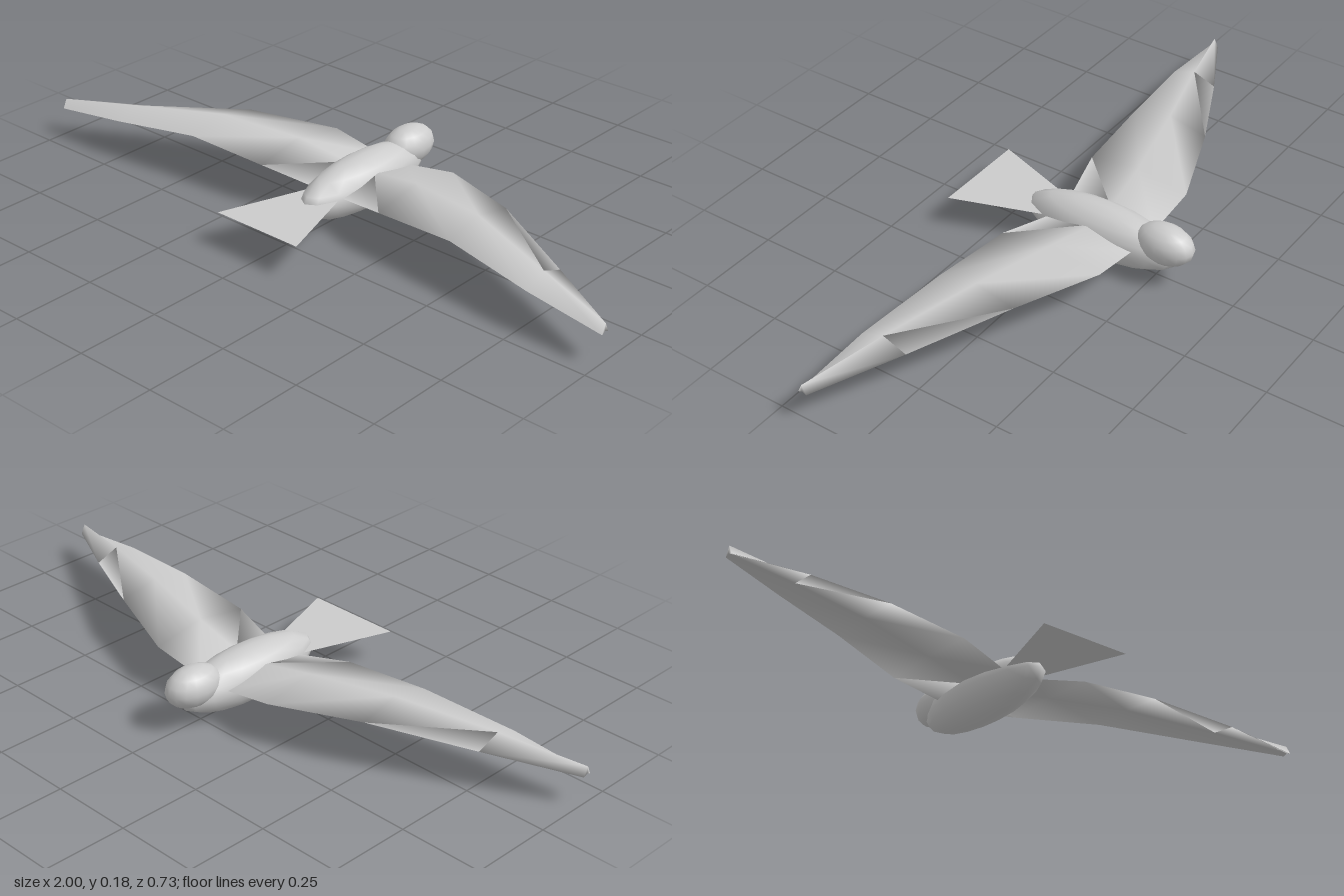
import * as THREE from 'three';

const material = new THREE.MeshStandardMaterial({ color: 0xcccccc });
const thin = new THREE.MeshStandardMaterial({ color: 0xcccccc, side: THREE.DoubleSide });

// Wing stations: [x, y of lower edges, leading z, trailing z]
const stations = [
  [0.05, 0.095, -0.205, 0.08],
  [0.22, 0.123, -0.207, 0.118],
  [0.48, 0.138, -0.11, 0.135],
  [0.76, 0.112, 0.028, 0.174],
  [1.0, 0.085, 0.158, 0.185],
];
const thickness = 0.028;

// Loft of four-point sections (leading, ridge, trailing, hollow underside)
function wingGeometry(side) {
  const pos = [], index = [];
  const tri = (a, b, c) => (side > 0 ? index.push(a, b, c) : index.push(a, c, b));
  for (const [x, y, front, back] of stations) {
    const mid = (front + back) / 2;
    pos.push(side * x, y, front, side * x, y + thickness, mid);
    pos.push(side * x, y, back, side * x, y + 0.006, mid);
  }
  const last = stations.length - 1;
  for (let s = 0; s < last; s++) {
    for (let k = 0; k < 4; k++) {
      const a = s * 4 + k, b = s * 4 + (k + 1) % 4;
      tri(a, b, b + 4);
      tri(a, b + 4, a + 4);
    }
  }
  // End caps
  const t = last * 4;
  tri(t, t + 1, t + 3);
  tri(t + 1, t + 2, t + 3);
  tri(0, 3, 1);
  tri(1, 3, 2);
  const geo = new THREE.BufferGeometry();
  geo.setAttribute('position', new THREE.Float32BufferAttribute(pos, 3));
  geo.setIndex(index);
  geo.computeVertexNormals();
  return geo;
}

// Stretched sphere
function ellipsoid(rx, ry, rz) {
  return new THREE.SphereGeometry(1, 16, 8).scale(rx, ry, rz);
}

export function createModel() {
  const model = new THREE.Group();
  const add = (name, geometry, mat = material) => {
    const mesh = new THREE.Mesh(geometry, mat);
    mesh.name = name;
    model.add(mesh);
    return mesh;
  };

  add('body', ellipsoid(0.082, 0.081, 0.255)).position.set(0, 0.081, -0.071);
  add('head', ellipsoid(0.06, 0.059, 0.092)).position.set(0, 0.118, -0.275);

  add('leftWing', wingGeometry(1));
  add('rightWing', wingGeometry(-1));

  // Flat fan tail
  const fan = new THREE.Shape([
    new THREE.Vector2(-0.04, -0.05),
    new THREE.Vector2(-0.147, -0.367),
    new THREE.Vector2(0.147, -0.367),
    new THREE.Vector2(0.04, -0.05),
  ]);
  const tail = new THREE.ShapeGeometry(fan).rotateX(-Math.PI / 2);
  add('tail', tail, thin).position.y = 0.095;

  return model;
}
